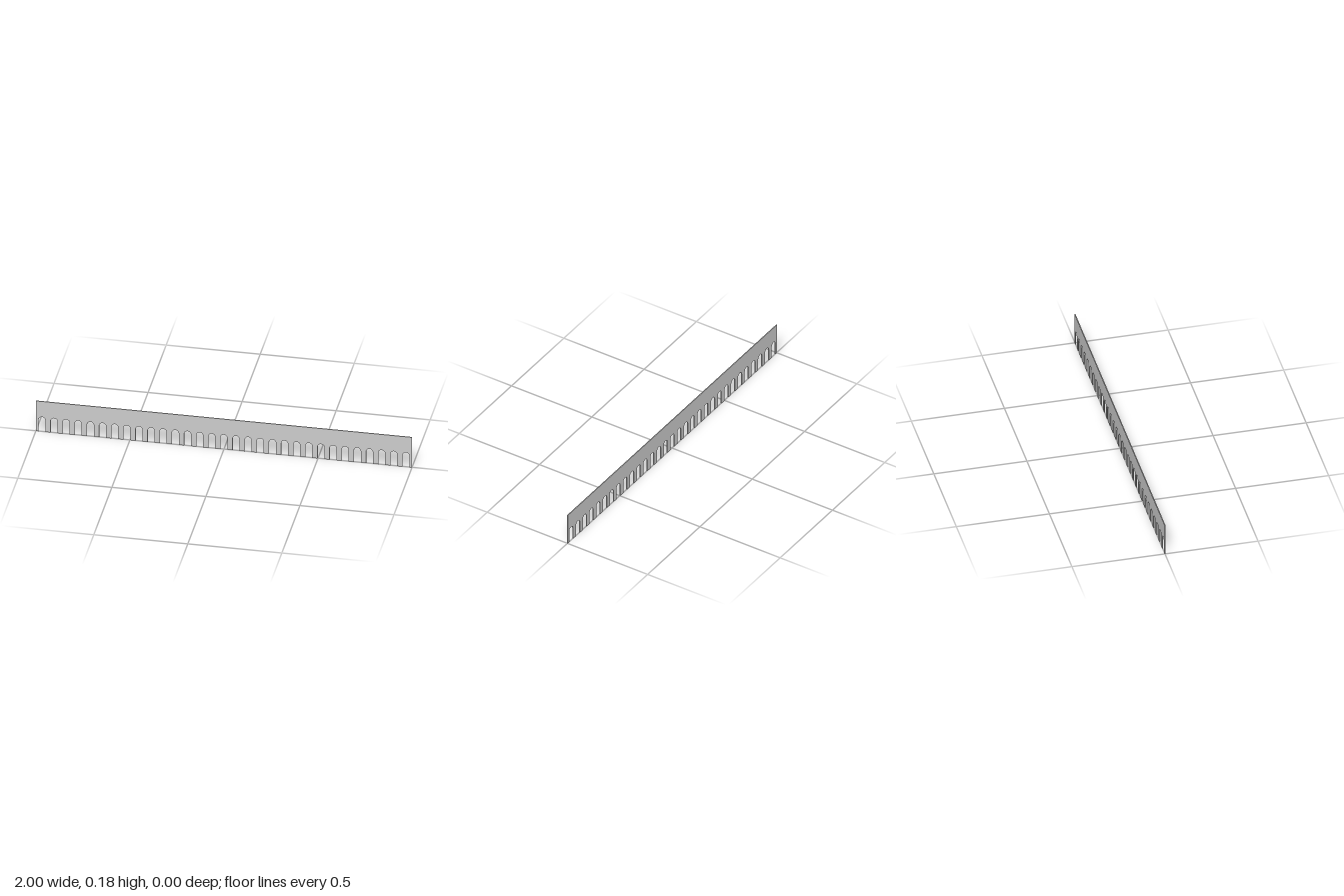
import * as THREE from 'three';

const LENGTH = 2, HEIGHT = 0.182, THICKNESS = 0.005;
const SLOTS = 31, SLOT_WIDTH = 0.036, SLOT_TOP = 0.088;

export function createModel() {
  const group = new THREE.Group();
  group.name = 'combStrip';

  // outline: plain upper band, round-topped slots cut into the lower edge
  const pitch = LENGTH / SLOTS, r = SLOT_WIDTH / 2;
  const outline = new THREE.Shape();
  outline.moveTo(-LENGTH / 2, HEIGHT);
  outline.lineTo(-LENGTH / 2, 0);
  for (let i = 0; i < SLOTS; i++) {
    const x = -LENGTH / 2 + (i + 0.5) * pitch;
    outline.lineTo(x - r, 0);
    outline.lineTo(x - r, SLOT_TOP - r);
    outline.absarc(x, SLOT_TOP - r, r, Math.PI, 0, true);
    outline.lineTo(x + r, 0);
  }
  outline.lineTo(LENGTH / 2, 0);
  outline.lineTo(LENGTH / 2, HEIGHT);
  outline.closePath();

  // thin plate centred on z = 0
  const geometry = new THREE.ExtrudeGeometry(outline, {
    depth: THICKNESS, bevelEnabled: false, curveSegments: 12,
  });
  geometry.translate(0, 0, -THICKNESS / 2);

  const plate = new THREE.Mesh(geometry, new THREE.MeshStandardMaterial({ color: 0xcccccc }));
  plate.name = 'slottedPlate';
  group.add(plate);
  return group;
}
